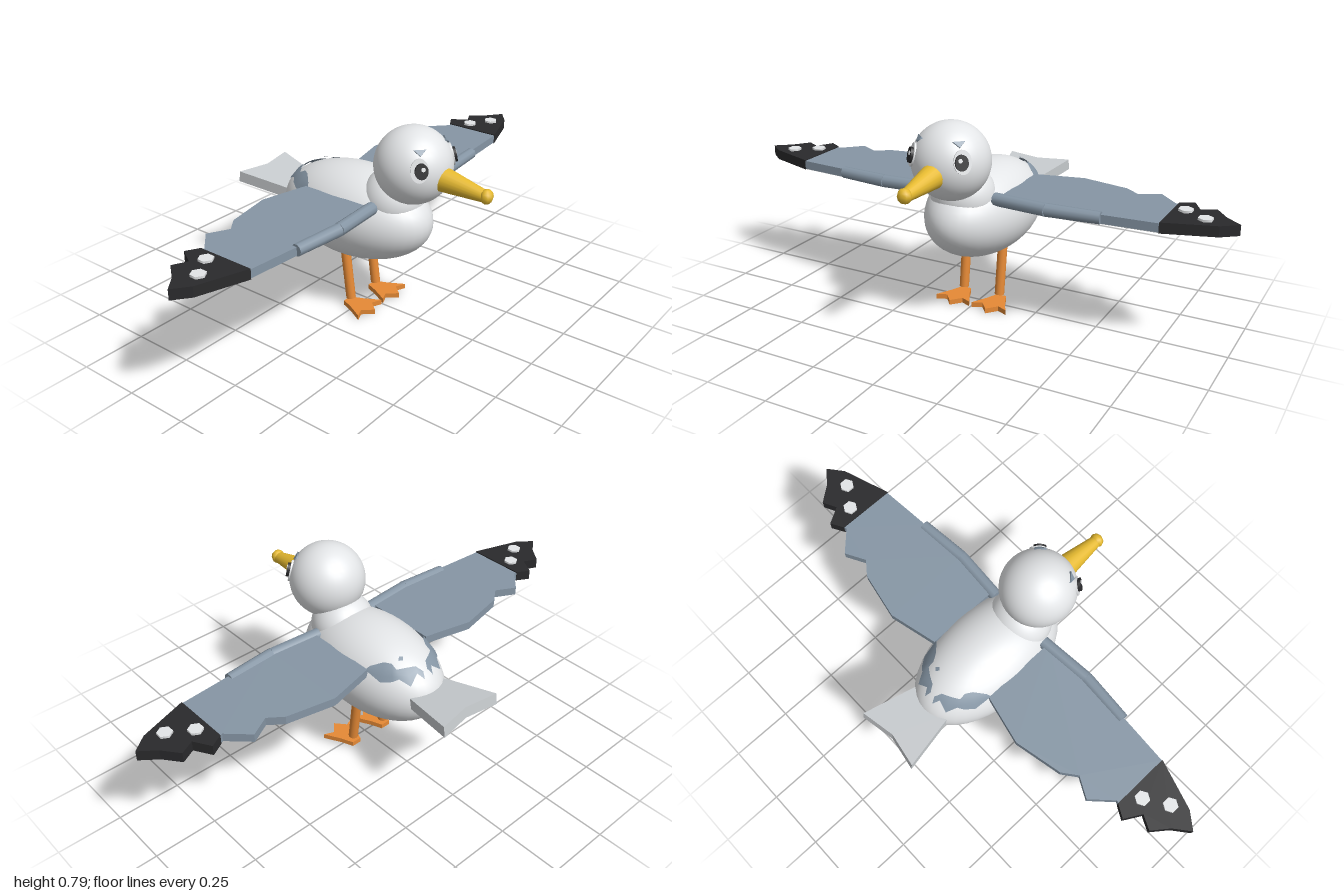
import * as THREE from 'three';

const paint = (name, color) => Object.assign(new THREE.MeshStandardMaterial({ color }), { name });

export function createModel() {
  const white = paint('white feathers', 0xe6e8ea);
  const pale = paint('pale grey feathers', 0xc8cccf);
  const blue = paint('blue grey feathers', 0x8696a5);
  const black = paint('black', 0x2a2a2c);
  const yellow = paint('beak yellow', 0xe6ba30);
  const orange = paint('leg orange', 0xe68a36);
  const patchBlue = paint('blue grey markings', 0x8696a5);
  patchBlue.side = THREE.DoubleSide;

  const bird = new THREE.Group();
  bird.name = 'seabird';

  const add = (name, geometry, material, parent = bird) => {
    const mesh = new THREE.Mesh(geometry, material);
    mesh.name = name;
    parent.add(mesh);
    return mesh;
  };
  const V = (x, y, z) => new THREE.Vector3(x, y, z);

  // Ellipsoid with its centre and three radii
  const ball = (name, c, r, material) => {
    const m = add(name, new THREE.SphereGeometry(1, 40, 28), material);
    m.scale.set(...r);
    m.position.set(...c);
    return m;
  };
  // Tapered rod from a to b
  const rod = (name, a, b, ra, rb, material, sides = 16) => {
    const m = add(name, new THREE.CylinderGeometry(rb, ra, a.distanceTo(b), sides), material);
    m.position.copy(a).lerp(b, 0.5);
    m.quaternion.setFromUnitVectors(V(0, 1, 0), b.clone().sub(a).normalize());
    return m;
  };
  // Flat slab with an [x, z] outline, from height y0 to y1
  const slab = (name, outline, y0, y1, material) => {
    const shape = new THREE.Shape(outline.map(([x, z]) => new THREE.Vector2(x, -z)));
    const g = new THREE.ExtrudeGeometry(shape, { depth: y1 - y0, bevelEnabled: false });
    g.rotateX(-Math.PI / 2);
    g.translate(0, y0, 0);
    return add(name, g, material);
  };

  // Body, neck and head
  const bodyC = [0, 0.39, -0.05], bodyR = [0.193, 0.185, 0.334];
  ball('body', bodyC, bodyR, white).rotation.x = -0.02;
  ball('neck', [0, 0.485, 0.125], [0.125, 0.12, 0.12], white);
  const headC = V(0, 0.641, 0.212), headR = 0.147;
  ball('head', headC.toArray(), [headR, headR, headR], white);

  // Beak with a knob at the tip
  rod('beak', V(0, 0.618, 0.33), V(0, 0.598, 0.522), 0.048, 0.022, yellow, 20);
  const tip = add('beakTip', new THREE.SphereGeometry(0.028, 8, 6), yellow);
  tip.position.set(0, 0.6, 0.524);
  tip.scale.z = 0.85;

  // Tail fan with a notched end
  const tail = slab('tail', [[-0.08, 0.03], [0.08, 0.03], [0.135, -0.222], [0, -0.197], [-0.135, -0.222]],
    -0.0225, 0.0225, pale);
  tail.position.set(0, 0.403, -0.335);
  tail.rotation.x = 0.14;

  // Thin disc resting on the head, facing outwards along dir
  const headDisc = (name, dir, lift, w, h, sides, material, thickness = 0.008) => {
    const g = new THREE.CylinderGeometry(1, 1, thickness, sides);
    g.rotateX(Math.PI / 2);
    const m = add(name, g, material);
    const d = dir.clone().normalize();
    m.position.copy(headC).addScaledVector(d, headR + lift);
    m.lookAt(m.position.clone().add(d));
    m.scale.set(w, h, 1);
    return m;
  };

  // Curved marking on the back: rows of [outer x, outer z, inner x, inner z]
  const backPatch = (name, rows) => {
    const n = 4, pos = [], idx = [];
    rows.forEach(([ox, oz, ix, iz], i) => {
      for (let j = 0; j <= n; j++) {
        const x = THREE.MathUtils.lerp(ox, ix, j / n), z = THREE.MathUtils.lerp(oz, iz, j / n);
        const k = 1 - (x / bodyR[0]) ** 2 - ((z - bodyC[2]) / bodyR[2]) ** 2;
        pos.push(x * 1.012, bodyC[1] + bodyR[1] * Math.sqrt(Math.max(k, 0)) + 0.008, z);
        if (i && j) {
          const a = i * (n + 1) + j, b = a - n - 1;
          idx.push(a, b, b - 1, a, b - 1, a - 1);
        }
      }
    });
    const g = new THREE.BufferGeometry();
    g.setAttribute('position', new THREE.Float32BufferAttribute(pos, 3));
    g.setIndex(idx);
    g.computeVertexNormals();
    add(name, g, patchBlue);
  };

  // Wing outlines for the +x side, trailing edge first
  const wingEdge = [[0.15, 0.13], [0.15, -0.18], [0.342, -0.225], [0.53, -0.187], [0.585, -0.145],
    [0.663, -0.187], [0.74, -0.112], [0.75, -0.116], [0.75, 0.11], [0.545, 0.125], [0.342, 0.14]];
  const tipEdge = [[0.75, 0.112], [0.75, -0.117], [0.8, -0.145], [0.838, -0.08], [0.892, -0.107],
    [0.94, -0.045], [1, 0.003], [0.94, 0.05]];
  const underEdge = wingEdge.map(([x, z]) => [x, z * 0.93]);
  const footEdge = [[-0.02, -0.04], [0.02, -0.04], [0.04, 0.01], [0.075, 0.075], [0.035, 0.058],
    [0, 0.1], [-0.035, 0.058], [-0.075, 0.075], [-0.04, 0.01]];

  for (const s of [1, -1]) {
    const side = s > 0 ? 'left' : 'right';
    const flip = (pts) => pts.map(([x, z]) => [x * s, z]);

    // Wing blade, pale underside, black tip with pale spots
    slab(side + 'Wing', flip(wingEdge), 0.467, 0.5, blue);
    slab(side + 'WingUnderside', flip(underEdge), 0.462, 0.468, pale);
    slab(side + 'WingTip', flip(tipEdge), 0.464, 0.504, black);
    for (const [x, z] of [[0.797, -0.043], [0.882, 0.012]]) {
      const spot = add(side + 'WingSpot', new THREE.CylinderGeometry(0.028, 0.028, 0.009, 6), white);
      spot.position.set(x * s, 0.508, z);
    }
    // Rounded leading edge
    const bend = V(0.342 * s, 0.487, 0.138);
    rod(side + 'WingFrontInner', V(0.13 * s, 0.487, 0.122), bend, 0.025, 0.025, blue, 10);
    rod(side + 'WingFrontOuter', bend, V(0.545 * s, 0.487, 0.122), 0.025, 0.023, blue, 10);

    // Eye: pale surround, pupil, glint and brow
    headDisc(side + 'EyeSurround', V(0.105 * s, 0.034, 0.1), -0.003, 0.033, 0.044, 24, white);
    headDisc(side + 'Eye', V(0.105 * s, 0.034, 0.108), 0.005, 0.024, 0.029, 20, black, 0.014);
    headDisc(side + 'EyeGlint', V(0.102 * s, 0.042, 0.113), 0.013, 0.008, 0.008, 10, white, 0.004);
    headDisc(side + 'Brow', V(0.08 * s, 0.092, 0.082), 0.001, 0.026, 0.016, 3, blue);

    // Leg and webbed foot
    rod(side + 'Leg', V(0.08 * s, 0.034, -0.02), V(0.08 * s, 0.235, -0.045), 0.019, 0.019, orange);
    slab(side + 'Foot', footEdge.map(([x, z]) => [x + 0.08 * s, z]), 0, 0.02, orange);

    // Markings on the rump
    backPatch(side + 'RumpMarking', [[0.15, -0.17, 0.135, -0.18], [0.14, -0.24, 0.1, -0.215],
      [0.115, -0.275, 0.085, -0.24], [0.095, -0.29, 0.085, -0.265], [0.075, -0.33, 0.055, -0.285],
      [0.035, -0.32, 0.025, -0.3], [0.02, -0.345, 0.01, -0.325]].map(([a, b, c, d]) => [a * s, b, c * s, d]));
  }
  backPatch('rumpSpot', [[0.04, -0.25, 0.05, -0.24], [0.05, -0.26, 0.062, -0.25]]);

  return bird;
}
